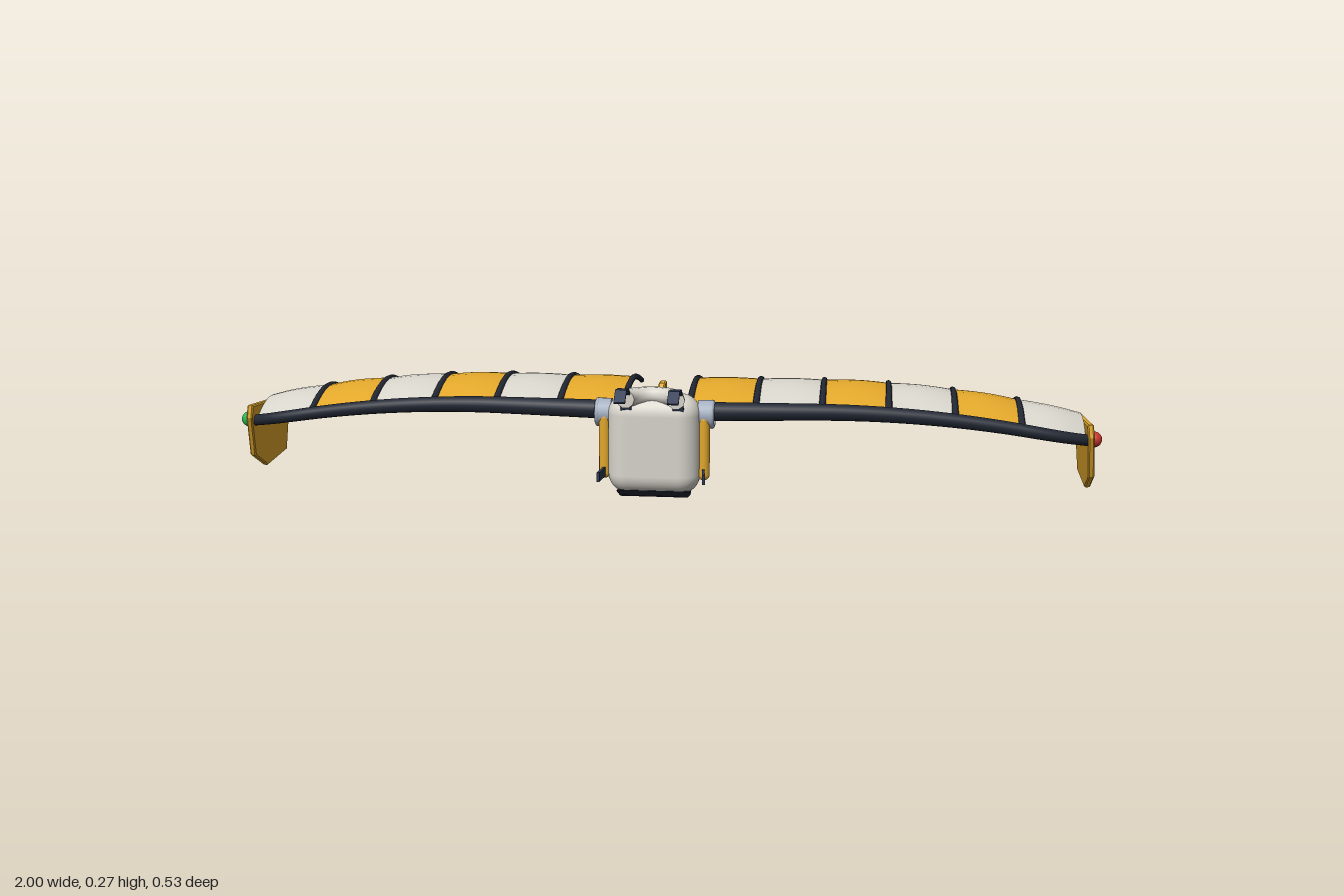
import * as THREE from 'three';
import { RoundedBoxGeometry } from 'three/addons/geometries/RoundedBoxGeometry.js';

const V = (x, y, z) => new THREE.Vector3(x, y, z);
const paint = (color, side = THREE.FrontSide) => new THREE.MeshStandardMaterial({ color, side });
const yellow = paint(0xe3a82b), white = paint(0xd8d5cc), dark = paint(0x222834);
const navy = paint(0x2c3854), steel = paint(0xa4afc0), red = paint(0xc8352b), green = paint(0x2bb253);
const yellowCloth = paint(0xe3a82b, THREE.DoubleSide), whiteCloth = paint(0xd8d5cc, THREE.DoubleSide);

// Wing rules: leading edge position and chord curve at span x
const RIBS = [0.075, 0.224, 0.373, 0.522, 0.671, 0.82, 0.965];
const leadY = x => 0.206 - 0.175 * Math.max(0, x - 0.35) ** 2;
const leadZ = x => 0.097 - 0.085 * (x - 0.075) - 2.5 * Math.max(0, x - 0.86) ** 2;
const rearZ = x => (x > 0.82 ? -0.25 + 0.03 * (x - 0.82) / 0.145 : -0.25);
function wingPoint(x, t, bulge = 0) {
  const back = rearZ(x) + 0.026 * bulge;
  const y = leadY(x) + 0.036 * Math.sin(Math.PI * t) + 0.005 * t + 0.006 * bulge * Math.sin(Math.PI * t * 0.8);
  return V(x, y, THREE.MathUtils.lerp(leadZ(x), back, t));
}

// Tube whose radius runs from r0 to r1, with domed ends
function taperedTube(points, r0, r1, sides) {
  const n = points.length * 2, curve = new THREE.CatmullRomCurve3(points);
  const geo = new THREE.TubeGeometry(curve, n, 1, sides), p = geo.attributes.position;
  const v = V(0, 0, 0);
  for (let i = 0; i < p.count; i++) {
    const u = Math.floor(i / (sides + 1)) / n, c = curve.getPointAt(u);
    v.fromBufferAttribute(p, i).sub(c).multiplyScalar(THREE.MathUtils.lerp(r0, r1, u)).add(c);
    p.setXYZ(i, v.x, v.y, v.z);
  }
  return geo;
}

// Plate cut from a (z, y) outline, centred on x = 0
function sidePlate(outline, thick, bevel) {
  const shape = new THREE.Shape(outline.map(([z, y]) => new THREE.Vector2(-z, y)));
  const geo = new THREE.ExtrudeGeometry(shape, {
    depth: thick - 2 * bevel, bevelEnabled: true, bevelSize: bevel, bevelOffset: -bevel,
    bevelThickness: bevel, bevelSegments: 1
  });
  return geo.translate(0, 0, -thick / 2 + bevel).rotateY(Math.PI / 2);
}

// Cloth panel between two ribs, billowing in the middle
function clothPanel(s, xa, xb) {
  const geo = new THREE.PlaneGeometry(1, 1, 8, 10), p = geo.attributes.position;
  for (let i = 0; i < p.count; i++) {
    const u = p.getX(i) + 0.5, t = 0.5 - p.getY(i);
    const q = wingPoint(THREE.MathUtils.lerp(xa, xb, u), t, Math.sin(Math.PI * u));
    p.setXYZ(i, s * q.x, q.y, q.z);
  }
  // keep the top as the front face on the mirrored wing
  if (s < 0) {
    const ix = geo.index.array;
    for (let i = 0; i < ix.length; i += 3) [ix[i], ix[i + 1]] = [ix[i + 1], ix[i]];
  }
  geo.computeVertexNormals();
  return geo;
}

export function createModel() {
  const model = new THREE.Group();
  const add = (name, geo, mat, x = 0, y = 0, z = 0, parent = model) => {
    const m = new THREE.Mesh(geo, mat);
    m.name = name;
    m.position.set(x, y, z);
    parent.add(m);
    return m;
  };

  // Backpack body with a dark skid underneath
  add('body', new RoundedBoxGeometry(0.208, 0.228, 0.1, 5, 0.046), white, 0, 0.134, 0.108);
  add('bottomSkid', sidePlate([[0.145, 0.032], [0.13, 0.017], [0.115, 0.011], [0.1, 0.015], [0.083, 0.032]], 0.165, 0.006), dark);

  // Neck cushion: half ring open to the front
  const cushion = new THREE.Group();
  cushion.name = 'neckCushion';
  model.add(cushion);
  add('cushionRing', new THREE.TorusGeometry(0.056, 0.02, 10, 20, Math.PI).rotateX(-Math.PI / 2), white, 0, 0.246, 0.18, cushion);
  for (const s of [-1, 1]) add('cushionEnd', new THREE.CircleGeometry(0.02, 10), white, s * 0.056, 0.246, 0.18, cushion);

  // Back plate, fin and crossbars
  add('backPlate', new RoundedBoxGeometry(0.17, 0.15, 0.025, 2, 0.008), yellow, 0, 0.125, 0.048);
  add('backFin', sidePlate([[0.045, 0.062], [0.012, 0.062], [-0.001, 0.078], [-0.08, 0.235], [-0.072, 0.244],
    [-0.035, 0.244], [0.045, 0.17]], 0.016, 0.003), yellow);
  for (const y of [0.051, 0.088])
    add('crossbar', new THREE.CylinderGeometry(0.006, 0.006, 0.12, 10).rotateZ(Math.PI / 2), dark, 0, y, 0.036);

  for (const s of [-1, 1]) {
    const side = new THREE.Group();
    side.name = s > 0 ? 'leftSide' : 'rightSide';
    model.add(side);

    // Side canister and shoulder joint
    add('sideCanister', new THREE.CapsuleGeometry(0.0135, 0.125, 5, 12), yellow, s * 0.112, 0.128, 0.113, side);
    add('shoulderJoint', new THREE.CylinderGeometry(0.032, 0.032, 0.03, 20).rotateZ(Math.PI / 2), steel, s * 0.113, 0.2, 0.094, side);
    add('shoulderRing', new THREE.TorusGeometry(0.027, 0.006, 8, 20).rotateY(Math.PI / 2), steel, s * 0.129, 0.2, 0.094, side);

    // Shoulder strap made of flat links
    const path = [[0.15, 0.213], [0.165, 0.25], [0.198, 0.272], [0.236, 0.276], [0.261, 0.255]];
    for (let i = 1; i < path.length; i++) {
      const [z0, y0] = path[i - 1], [z1, y1] = path[i], dz = z1 - z0, dy = y1 - y0;
      const link = add('shoulderStrap', new THREE.BoxGeometry(0.025, 0.005, Math.hypot(dz, dy) + 0.003), navy,
        s * 0.058, (y0 + y1) / 2, (z0 + z1) / 2, side);
      link.rotation.x = -Math.atan2(dy, dz);
    }
    const waist = add('waistStrap', new THREE.BoxGeometry(0.006, 0.021, 0.056), navy, s * 0.115, 0.069, 0.154, side);
    waist.rotation.y = s * 0.1;

    // Leading-edge spar
    const span = Array.from({ length: 16 }, (_, i) => {
      const x = 0.1 + 0.875 * i / 15;
      return V(s * x, leadY(x), leadZ(x));
    });
    add('wingSpar', taperedTube(span, 0.022, 0.013, 12), dark, 0, 0, 0, side);
    const tip = span[span.length - 1];
    add('sparTip', new THREE.SphereGeometry(0.013, 12, 8), dark, tip.x, tip.y, tip.z, side);

    // Ribs and striped cloth
    for (let i = 0; i < RIBS.length - 1; i++) {
      const x = RIBS[i];
      const rib = Array.from({ length: 9 }, (_, k) => {
        const q = wingPoint(x, k / 8 * 1.01);
        return V(s * q.x, q.y, q.z);
      });
      add('wingRib', taperedTube(rib, 0.008, 0.006, 8), dark, 0, 0, 0, side);
      const end = rib[8];
      add('ribEnd', new THREE.SphereGeometry(0.0065, 8, 6), dark, end.x, end.y, end.z, side);
      add('wingCloth', clothPanel(s, x, RIBS[i + 1]), i % 2 ? whiteCloth : yellowCloth, 0, 0, 0, side);
    }

    // Drooping end plate, leaning outward toward the bottom
    const plate = add('winglet', sidePlate([[0.016, 0.08], [-0.23, 0.057], [-0.262, -0.005], [-0.258, -0.088],
      [-0.115, -0.096], [-0.02, -0.05], [0.02, 0.05]], 0.014, 0.003), yellow, s * 0.978, 0.1, 0, side);
    plate.rotation.z = s * 0.09;
    add('tipLight', new THREE.SphereGeometry(0.018, 16, 12), s > 0 ? red : green, s * 0.982, 0.142, -0.007, side);
  }
  return model;
}
